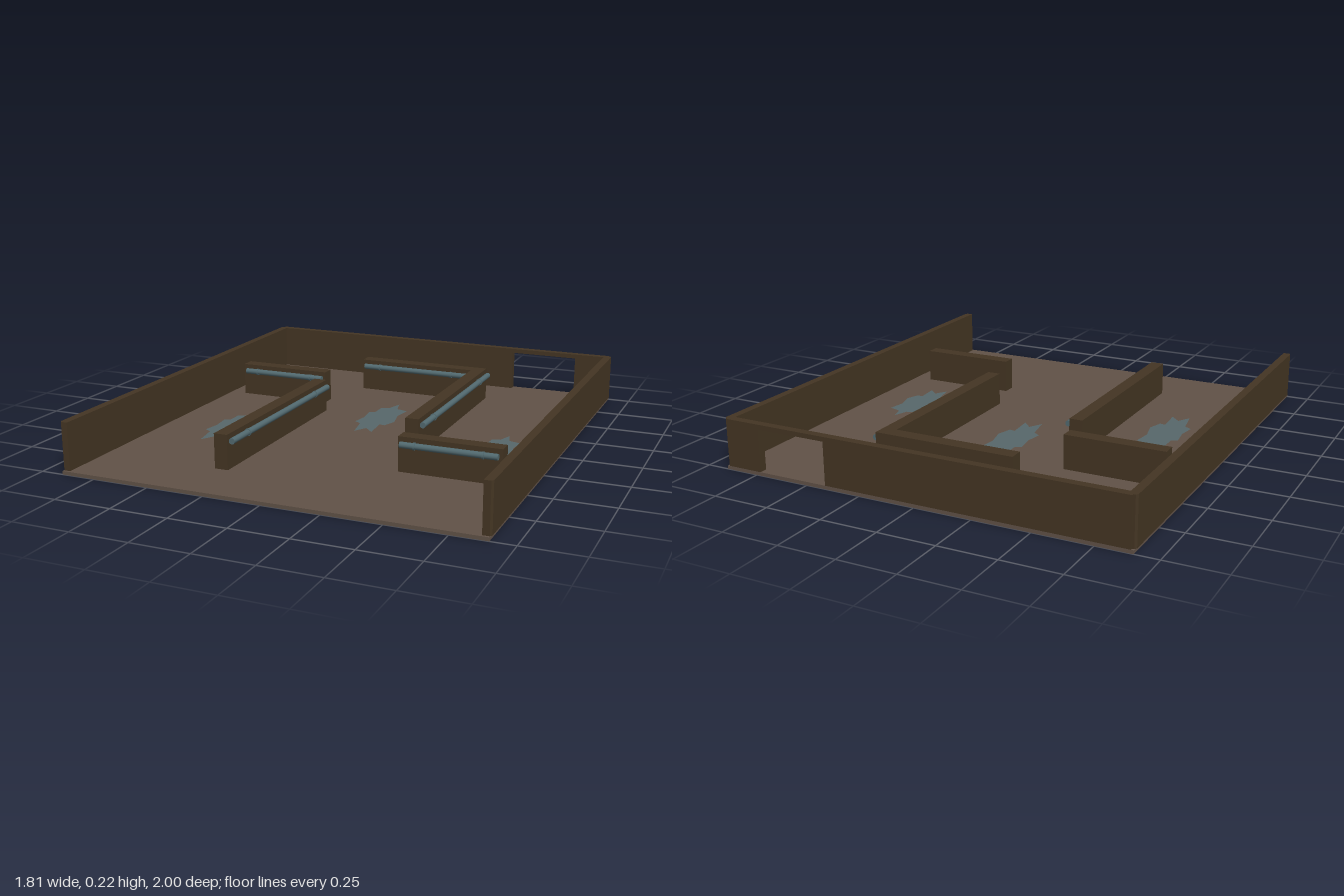
import * as THREE from 'three';

const mat = (name, color) => {
  const m = new THREE.MeshStandardMaterial({ color });
  m.name = name;
  return m;
};

export function createModel() {
  const group = new THREE.Group();
  const wallMat = mat('dark wood', 0x443523);
  const floorMat = mat('floor brown', 0x615247);
  const pipeMat = mat('pipe blue grey', 0x526a70);
  const puddleMat = mat('puddle blue grey', 0x57676a);
  const floorY = 0.015;

  const add = (name, geo, material, x = 0, y = 0, z = 0, parent = group) => {
    const mesh = new THREE.Mesh(geo, material);
    mesh.name = name;
    mesh.position.set(x, y, z);
    parent.add(mesh);
    return mesh;
  };
  const box = (name, material, x0, x1, y0, y1, z0, z1) =>
    add(name, new THREE.BoxGeometry(x1 - x0, y1 - y0, z1 - z0), material,
      (x0 + x1) / 2, (y0 + y1) / 2, (z0 + z1) / 2);

  // Floor slab
  box('floor', floorMat, -0.9, 0.9, 0, floorY, -1, 1);

  // Side walls with slightly clipped outer corners
  for (const side of [-1, 1]) {
    const plan = new THREE.Shape([
      [0.87, -0.99], [0.898, -0.99], [0.905, -0.98],
      [0.905, 0.98], [0.898, 0.99], [0.87, 0.99],
    ].map(([x, z]) => new THREE.Vector2(side * x, -z)));
    const geo = new THREE.ExtrudeGeometry(plan, { depth: 0.205, bevelEnabled: false });
    geo.rotateX(-Math.PI / 2);
    add(side > 0 ? 'leftOuterWall' : 'rightOuterWall', geo, wallMat, 0, floorY, 0);
  }

  // Back wall with a doorway
  const back = new THREE.Shape([
    [-0.89, floorY], [0.41, floorY], [0.41, 0.2], [0.73, 0.2],
    [0.73, floorY], [0.89, floorY], [0.89, 0.22], [-0.89, 0.22],
  ].map(([x, y]) => new THREE.Vector2(x, y)));
  add('backWall', new THREE.ExtrudeGeometry(back, { depth: 0.035, bevelEnabled: false }),
    wallMat, 0, 0, -1);

  // Low inner walls: x0, x1, z0, z1
  [
    [-0.795, -0.352, -0.413, -0.35],
    [-0.285, 0.345, -0.732, -0.668],
    [0.285, 0.345, -0.668, 0.222],
    [-0.348, -0.288, -0.222, 0.73],
    [0.352, 0.79, 0.413, 0.475],
  ].forEach(([x0, x1, z0, z1], i) =>
    box('innerWall' + (i + 1), wallMat, x0, x1, floorY, 0.165, z0, z1));

  // Wall pipes with two collars each: centre x, centre z, length, runs along z
  [
    [-0.57, -0.337, 0.41, false],
    [0, -0.655, 0.54, false],
    [0.357, -0.255, 0.92, true],
    [-0.275, 0.255, 0.92, true],
    [0.57, 0.489, 0.41, false],
  ].forEach(([x, z, length, alongZ], i) => {
    const pipe = new THREE.Group();
    pipe.name = 'pipe' + (i + 1);
    pipe.position.set(x, 0.135, z);
    if (alongZ) pipe.rotation.y = Math.PI / 2;
    group.add(pipe);
    const tube = (name, r, l, px) => add(name,
      new THREE.CylinderGeometry(r, r, l, 12).rotateZ(Math.PI / 2), pipeMat, px, 0, 0, pipe);
    tube('pipeTube', 0.0135, length, 0);
    for (const s of [-1, 1]) tube('pipeCollar', 0.016, 0.008, s * length * 0.35);
  });

  // Jagged puddles lying on the floor
  const outline = [
    [0, -0.243], [0.02, -0.165], [0.075, -0.146], [0.064, -0.055], [0.085, 0.04],
    [0.064, 0.108], [0.038, 0.103], [0.047, 0.225], [0.004, 0.18], [-0.03, 0.24],
    [-0.052, 0.12], [-0.085, 0.1], [-0.073, 0.02], [-0.085, -0.068], [-0.058, -0.08],
    [-0.058, -0.155], [-0.022, -0.165],
  ].map(([x, z]) => new THREE.Vector2(x, -z));
  const puddleGeo = new THREE.ShapeGeometry(new THREE.Shape(outline)).rotateX(-Math.PI / 2);
  [[-0.57, 0.18, 1], [0, -0.2, 1], [0.635, 0.055, 0.87]].forEach(([x, z, s], i) => {
    add('puddle' + (i + 1), puddleGeo, puddleMat, x, floorY + 0.003, z).scale.z = s;
  });

  return group;
}
